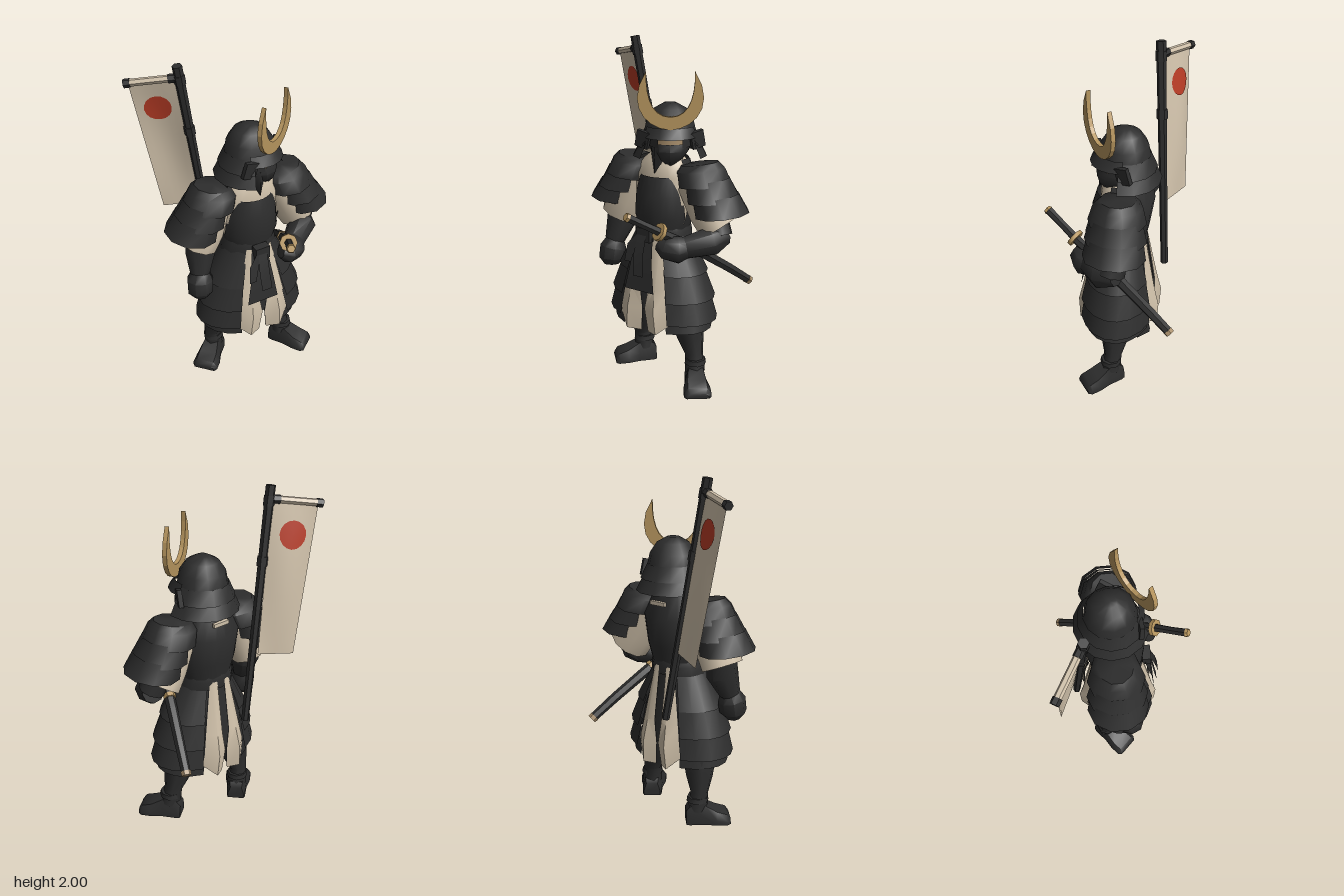
import * as THREE from 'three';
import { toCreasedNormals } from 'three/addons/utils/BufferGeometryUtils.js';

const mat = (name, color) => new THREE.MeshStandardMaterial({ name, color, side: THREE.DoubleSide });
const V = (x, y, z) => new THREE.Vector3(x, y, z);
const DEG = Math.PI / 180;

// Surface through rows of points; optional end caps.
function skin(rows, caps = false) {
  const pos = [], idx = [], n = rows[0].length;
  rows.forEach(r => r.forEach(p => pos.push(p.x, p.y, p.z)));
  for (let j = 0; j < rows.length - 1; j++)
    for (let i = 0; i < n - 1; i++) {
      const a = j * n + i, c = a + n;
      idx.push(c, c + 1, a + 1, c, a + 1, a);
    }
  if (caps) [0, rows.length - 1].forEach((j, end) => {
    const mid = V(0, 0, 0);
    rows[j].slice(0, -1).forEach(p => mid.addScaledVector(p, 1 / (n - 1)));
    const k = pos.length / 3;
    pos.push(mid.x, mid.y, mid.z);
    for (let i = 0; i < n - 1; i++) {
      const a = j * n + i;
      if (end) idx.push(k, a + 1, a); else idx.push(k, a, a + 1);
    }
  });
  const g = new THREE.BufferGeometry();
  g.setAttribute('position', new THREE.Float32BufferAttribute(pos, 3));
  g.setIndex(idx);
  return toCreasedNormals(g, 0.85);
}

// Elliptical rings [cx, y, cz, rx, rz, tilt], top to bottom; angles run from +z towards +x.
function loft(rings, a0 = 0, a1 = 360, seg = 12, caps = false) {
  return skin(rings.map(([cx, y, cz, rx, rz, tilt = 0]) =>
    Array.from({ length: seg + 1 }, (_, i) => {
      const a = (a0 + (a1 - a0) * i / seg) * DEG;
      return V(cx + rx * Math.sin(a), y + tilt * Math.sin(a), cz + rz * Math.cos(a));
    })), caps);
}

// Round limb through points [x, y, z, radius].
function limb(pts, seg = 8) {
  const c = pts.map(p => V(p[0], p[1], p[2]));
  return skin(pts.map((p, j) => {
    const t = c[Math.min(j + 1, c.length - 1)].clone().sub(c[Math.max(j - 1, 0)]).normalize();
    const ref = Math.abs(t.y) > 0.75 ? V(1, 0, 0) : V(0, 1, 0);
    const u = t.clone().cross(ref).normalize(), v = u.clone().cross(t);
    return Array.from({ length: seg + 1 }, (_, i) => {
      const a = i / seg * Math.PI * 2;
      return c[j].clone().addScaledVector(u, p[3] * Math.cos(a)).addScaledVector(v, p[3] * Math.sin(a));
    });
  }), true);
}

// Hanging strip from rows [left x, right x, y, z].
const strip = rows => skin(rows.map(([l, r, y, z]) => [V(l, y, z), V(r, y, z)]));

export function createModel() {
  const model = new THREE.Group();
  const dark = mat('charcoal', 0x2d2d2d), cream = mat('cream cloth', 0xd0c1aa),
    gold = mat('old gold', 0xb6955e), red = mat('red', 0xb83c26), skinTone = mat('tan', 0xa98f6c);
  const add = (name, geo, m, parent = model) => {
    const mesh = new THREE.Mesh(geo, m);
    mesh.name = name;
    parent.add(mesh);
    return mesh;
  };

  // Torso: cloth underneath, plates over it
  const Z = -0.04;
  add('kimono', loft([[.025, 1.385, Z, .075, .075], [.02, 1.34, Z, .13, .1], [.015, 1.25, Z, .19, .115],
    [.015, 1.1, Z, .18, .115], [.015, .95, Z, .14, .11]], 0, 360, 12, true), cream);
  add('breastplate', loft([[.015, 1.255, Z, .14, .135], [.015, 1.15, Z, .16, .165],
    [.015, 1.02, Z, .175, .16], [.015, .94, Z, .15, .145]], -75, 75), dark);
  add('backplate', loft([[.015, 1.35, Z, .14, .135], [.015, 1.22, Z, .2, .19],
    [.015, 1.05, Z, .185, .165], [.015, .94, Z, .15, .145]], 75, 285), dark);
  const backCollar = add('backCollar', new THREE.BoxGeometry(.1, .022, .02), cream);
  backCollar.position.set(.03, 1.305, -.203);
  const bib = add('innerCollar', new THREE.ConeGeometry(.062, .14, 4), dark);
  bib.position.set(.03, 1.335, .056);
  bib.rotation.x = Math.PI - .4;
  add('neck', limb([[.03, 1.46, -.03, .06], [.02, 1.3, -.04, .06]]), dark);
  add('sash', loft([[.01, .975, Z, .155, .15], [.01, .94, Z, .166, .158], [.01, .89, Z, .172, .152]]), dark);

  // Skirt: dark underskirt, split cloth panels with dark lining, layered side tassets
  const S = -.03;
  add('underskirt', loft([[.01, .94, S, .13, .12], [.01, .62, S, .25, .165],
    [.01, .47, S, .28, .175]], 0, 360, 14, true), dark);
  [['front', 1, z => z], ['back', .85, z => -.075 - z]].forEach(([face, width, side]) =>
    [-1, 1].forEach(s => [['ClothPanel', cream, 0], ['PanelLining', dark, .007]].forEach(([part, m, inset]) =>
      add(face + part, skin([
        [[.03, .94, .115], [.05, .94, .115], [.08, .94, .1]],
        [[.03, .62, .165], [.08, .62, .175], [.145, .62, .135]],
        [[.008, .49, .172], [.09, .49, .205], [.17, .5, .15]],
        [[.024, .345, .16], [.1, .355, .198], [.18, .425, .14]],
      ].map(row => row.map(([x, y, z]) => V(.012 + s * x * width, y, side(z - inset))))), m))));
  [0, 180].forEach(turn => [
    [.93, .15, .14, .7, .28, .205], [.74, .25, .19, .55, .33, .232],
    [.59, .295, .21, .42, .348, .235], [.45, .29, .21, .36, .315, .215],
  ].forEach(([y0, x0, z0, y1, x1, z1], i) => add('tasset' + (i + 1),
    loft([[.01, y0, S, x0, z0], [.015, y1, S, x1, z1]], turn + 28, turn + 152, 7), dark)));
  add('apron', strip([[-.05, .05, .93, .13], [-.075, .07, .76, .172], [-.105, .095, .6, .19]]), dark);
  const knot = add('sashKnot', new THREE.BoxGeometry(.09, .08, .05), dark);
  knot.position.set(.005, .93, .14);
  add('sashTailLong', strip([[-.025, .03, .93, .168], [-.035, .03, .82, .2], [-.025, .04, .7, .218]]), dark);
  add('sashTailShort', strip([[-.04, 0, .93, .165], [-.09, -.03, .87, .18], [-.1, -.055, .77, .198]]), dark);

  // Legs and feet, turned outward
  [['right', -.8, [[-.13, .55, -.06, .12], [-.17, .4, -.08, .1], [-.185, .28, -.1, .078],
    [-.2, .19, -.12, .052], [-.19, .08, -.125, .06]]],
  ['left', .65, [[.15, .55, -.03, .12], [.18, .4, -.03, .1], [.215, .28, -.03, .078],
    [.24, .19, -.025, .054], [.255, .08, -.015, .06]]]].forEach(([side, yaw, pts]) => {
    add(side + 'Leg', limb(pts), dark);
    const [x, , z] = pts[4];
    add(side + 'AnkleCuff', limb([[x, .165, z, .06], [x, .135, z, .065]]), dark);
    const foot = add(side + 'Foot', skin([[-.07, .05, .08], [-.05, .058, .11], [.04, .062, .115],
      [.11, .078, .075], [.17, .08, .055], [.19, .065, .03]].map(([d, w, h]) =>
      [V(-w, 0, d), V(-w, h * .4, d), V(-w * .7, h, d), V(w * .7, h, d), V(w, h * .4, d), V(w, 0, d), V(-w, 0, d)]),
    true), dark);
    foot.position.set(x, 0, z);
    foot.rotation.y = yaw;
  });

  // Shoulder guards: three overlapping tiers each
  [-1, 1].forEach(s => {
    const guard = new THREE.Group();
    guard.name = s < 0 ? 'rightShoulderGuard' : 'leftShoulderGuard';
    guard.position.set(.025, 0, -.055);
    [[[.215, 1.335, .11, .1], [.22, 1.3, .14, .135], [.25, 1.22, .148, .16]],
      [[.265, 1.25, .125, .135], [.31, 1.14, .142, .17]],
      [[.32, 1.165, .125, .15], [.365, 1.065, .147, .172]]].forEach((tier, i) =>
      add('shoulderTier' + (i + 1), loft(tier.map(([x, y, rx, rz]) =>
        [s * x, y, 0, rx, rz, s * .018]), 0, 360, 10, i === 0), dark, guard));
    model.add(guard);
  });

  // Arms: right hangs, left rests at the sword
  add('rightSleeve', limb([[-.19, 1.23, -.05, .1], [-.26, 1.08, -.05, .125], [-.305, .975, -.055, .12]], 10), cream);
  add('leftSleeve', limb([[.2, 1.23, -.05, .1], [.3, 1.08, -.06, .125], [.365, .985, -.075, .125]], 10), cream);
  add('rightForearm', limb([[-.29, 1.04, -.05, .085], [-.295, .92, -.04, .09], [-.32, .8, 0, .06]]), dark);
  add('rightHand', limb([[-.315, .81, 0, .055], [-.325, .76, .01, .08], [-.33, .69, .02, .078], [-.325, .65, .025, .045]]), dark);
  add('leftUpperArm', limb([[.34, 1.06, -.06, .07], [.385, .94, -.04, .075]]), dark);
  add('leftForearm', limb([[.395, .945, -.07, .06], [.36, .92, .01, .085], [.25, .885, .1, .065]]), dark);
  add('leftHand', limb([[.27, .89, .08, .055], [.22, .875, .13, .08], [.16, .885, .17, .065], [.12, .9, .17, .035]]), dark);

  // Sheathed sword at the left hip
  add('swordGrip', limb([[.055, 1.095, .375, .025], [.1, 1.04, .29, .023], [.148, .985, .205, .025]], 6), dark);
  add('swordPommel', limb([[.051, 1.1, .385, .022], [.057, 1.092, .372, .028]], 6), gold);
  add('swordGuard', limb([[.143, .99, .213, .052], [.152, .979, .195, .052]], 8), gold);
  add('scabbard', limb([[.15, .98, .2, .027], [.21, .9, .07, .031], [.275, .797, -.08, .031],
    [.345, .685, -.235, .029], [.402, .585, -.365, .026]], 6), dark);
  add('scabbardRing', limb([[.244, .848, -.01, .036], [.252, .836, -.03, .036]], 6), gold);
  add('scabbardTip', limb([[.4, .588, -.36, .029], [.408, .573, -.378, .027]], 6), skinTone);

  // Head and helmet, turned to the model's left
  const head = new THREE.Group();
  head.name = 'head';
  head.position.set(.045, 0, -.05);
  head.rotation.y = .59;
  model.add(head);
  add('face', loft([[0, 1.5, .02, .105, .105], [0, 1.42, .02, .105, .105]], -50, 50, 4), skinTone, head);
  add('skull', loft([[0, 1.5, .015, .1, .1], [0, 1.42, .015, .1, .1], [0, 1.34, .015, .06, .07]], 0, 360, 10, true), dark, head);
  add('mask', loft([[0, 1.44, .02, .112, .115], [0, 1.4, .02, .112, .13], [0, 1.35, .02, .075, .115],
    [0, 1.31, .02, .03, .08]], -100, 100, 6), dark, head);
  [-1, 1].forEach(s => add('cheekGuard', loft([[0, 1.52, .02, .115, .115], [0, 1.42, .02, .118, .118]],
    s * 75 - 40, s * 75 + 40, 4), dark, head));
  add('helmetDome', loft([[0, 1.655, -.01, .035, .035], [0, 1.625, -.01, .09, .09], [0, 1.565, -.01, .13, .13],
    [0, 1.48, -.01, .15, .145]], 0, 360, 12, true), dark, head);
  add('visor', loft([[0, 1.53, 0, .142, .14], [0, 1.472, 0, .165, .178]], -65, 65, 6), dark, head);
  [[1.51, .145, 1.43, .185], [1.45, .165, 1.36, .212]].forEach(([y0, r0, y1, r1], i) =>
    add('neckGuard' + (i + 1), loft([[0, y0, -.01, r0, r0], [0, y1, -.01, r1, r1 * .97]], 52, 308, 10), dark, head));
  [-1, 1].forEach(s => {
    const flap = add(s < 0 ? 'rightHelmetFlap' : 'leftHelmetFlap', new THREE.BoxGeometry(.08, .095, .025), dark, head);
    flap.position.set(s * .15, 1.462, .07);
    flap.rotation.set(.1, s * .5, s * .2);
  });

  // Crescent crest
  const crest = new THREE.Shape();
  crest.moveTo(0, 1.525);
  crest.bezierCurveTo(.13, 1.53, .25, 1.66, .13, 1.84);
  crest.bezierCurveTo(.135, 1.7, .1, 1.595, 0, 1.595);
  crest.bezierCurveTo(-.1, 1.595, -.135, 1.7, -.13, 1.84);
  crest.bezierCurveTo(-.25, 1.66, -.13, 1.53, 0, 1.525);
  const crestGeo = new THREE.ExtrudeGeometry(crest, { depth: .024, bevelEnabled: false, curveSegments: 7 });
  crestGeo.translate(0, 0, .125);
  add('crescentCrest', crestGeo, gold, head);

  // Banner pole with crossbar and wraps
  const poleTop = V(-.302, 2, -.2), poleEnd = V(-.09, .68, -.29);
  const onPole = (t, r) => { const p = poleTop.clone().lerp(poleEnd, t); return [p.x, p.y, p.z, r]; };
  add('bannerPole', limb([onPole(0, .027), onPole(.5, .024), onPole(1, .022)], 6), dark);
  [.04, .28].forEach(t =>
    add('poleWrap', limb([onPole(t, .031), onPole(t + .04, .031)], 6), dark));
  add('crossbar', limb([[-.535, 1.895, -.35, .02], [-.3, 1.93, -.212, .02]], 6), cream);
  add('crossbarEnd', limb([[-.54, 1.893, -.352, .024], [-.51, 1.898, -.335, .024]], 6), dark);
  add('crossbarJoint', limb([[-.34, 1.924, -.235, .024], [-.28, 1.932, -.2, .024]], 6), dark);

  // Banner cloth with a sun disc on each face
  const cloth = (u, v, off = 0) => {
    const p = V(-.52, 1.89, -.34).lerp(V(-.3, 1.925, -.215), u)
      .lerp(V(-.365, 1.06, -.375).lerp(V(-.175, 1.08, -.285), u), v);
    const bulge = off - .025 * Math.sin(Math.PI * v) * Math.sin(Math.PI * u);
    return p.add(V(-.46 * bulge, 0, .89 * bulge));
  };
  const steps = n => Array.from({ length: n + 1 }, (_, i) => i / n);
  add('bannerCloth', skin(steps(12).map(v => steps(6).map(u => cloth(u, v)))), cream);
  [-.005, .005].forEach(off => add('sunDisc', skin([0, .35, .7, 1].map(r => steps(16).map(a =>
    cloth(.48 + .3 * r * Math.sin(a * 2 * Math.PI), .2 + .09 * r * Math.cos(a * 2 * Math.PI), off)))), red));

  return model;
}
